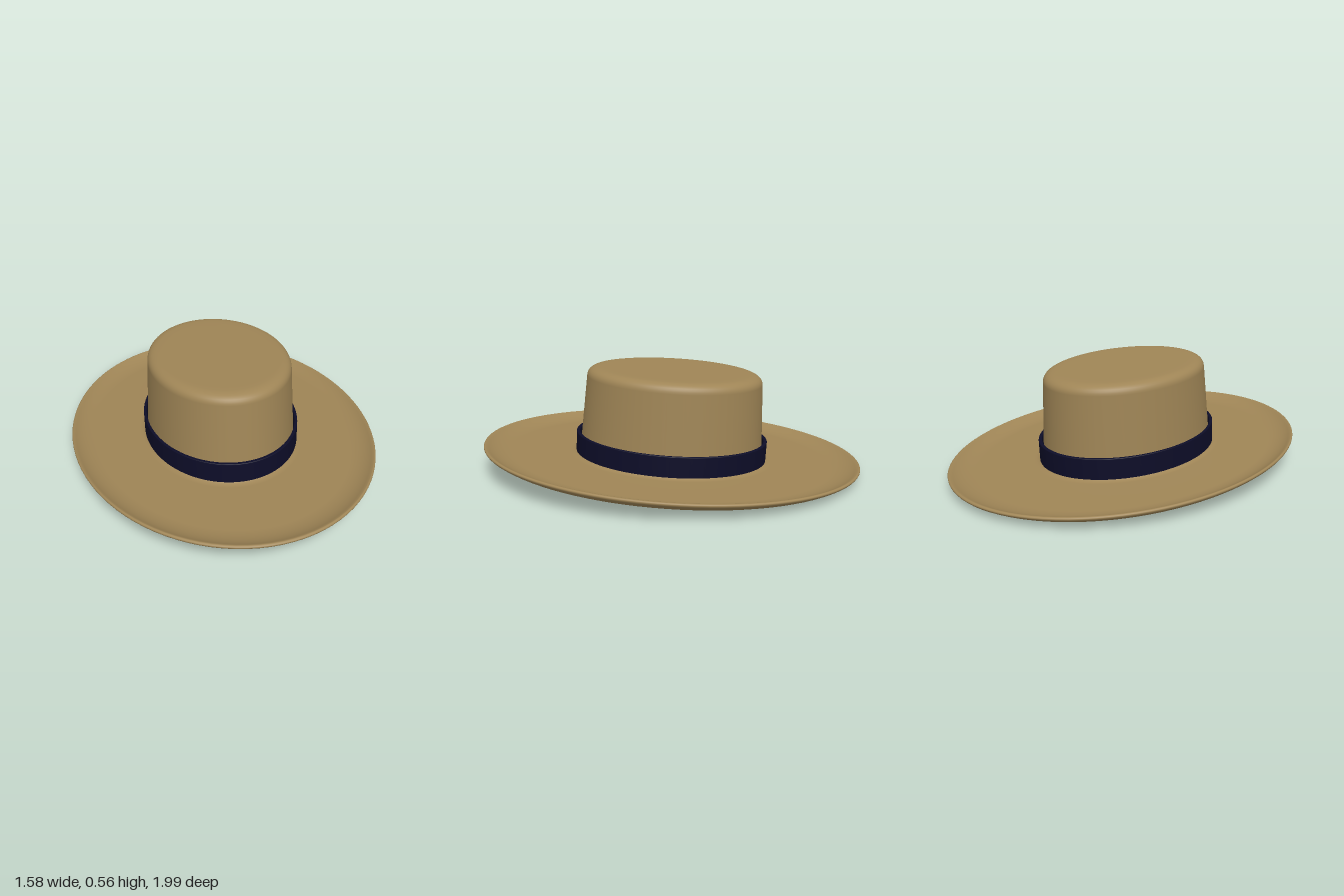
import * as THREE from 'three';

const SEGMENTS = 96;
const WIDTH = 0.793; // oval plan: width relative to length

// Spin a profile into an oval ring
function ovalLathe(path, material, name) {
  const geometry = new THREE.LatheGeometry(path.getPoints(8), SEGMENTS);
  geometry.scale(WIDTH, 1, 1);
  const mesh = new THREE.Mesh(geometry, material);
  mesh.name = name;
  return mesh;
}

export function createModel() {
  const felt = new THREE.MeshStandardMaterial({ color: 0x9f8556 });
  felt.name = 'tan felt';
  const ribbon = new THREE.MeshStandardMaterial({ color: 0x0d0d28 });
  ribbon.name = 'navy ribbon';

  // Hollow crown and brim as one closed shell: inside, underside, rim, top
  const shell = new THREE.Path();
  shell.moveTo(0, 0.518);
  shell.lineTo(0.39, 0.518);
  shell.quadraticCurveTo(0.438, 0.516, 0.442, 0.47);
  shell.lineTo(0.466, 0.12);
  shell.quadraticCurveTo(0.47, 0.055, 0.56, 0.049);
  shell.lineTo(0.86, 0.047);
  shell.quadraticCurveTo(0.93, 0.049, 0.99, 0.09);
  shell.quadraticCurveTo(1.005, 0.104, 0.985, 0.109);
  shell.quadraticCurveTo(0.93, 0.074, 0.85, 0.073);
  shell.lineTo(0.54, 0.075);
  shell.quadraticCurveTo(0.485, 0.077, 0.483, 0.13);
  shell.lineTo(0.459, 0.49);
  shell.quadraticCurveTo(0.456, 0.534, 0.39, 0.538);
  shell.lineTo(0.35, 0.539);
  shell.lineTo(0, 0.54);

  // Ribbon band standing slightly off the crown
  const band = new THREE.Path();
  band.moveTo(0.507, 0.065);
  band.lineTo(0.507, 0.185);
  band.quadraticCurveTo(0.507, 0.19, 0.503, 0.19);
  band.lineTo(0.492, 0.19);
  band.quadraticCurveTo(0.488, 0.19, 0.488, 0.185);
  band.lineTo(0.488, 0.075);

  const hat = new THREE.Group();
  hat.name = 'hat';
  hat.add(ovalLathe(shell, felt, 'crownAndBrim'), ovalLathe(band, ribbon, 'hatBand'));
  // Front tipped up a little
  hat.rotation.x = -0.0525;
  hat.position.z = 0.005;

  const model = new THREE.Group();
  model.name = 'wideBrimHat';
  model.add(hat);
  return model;
}
